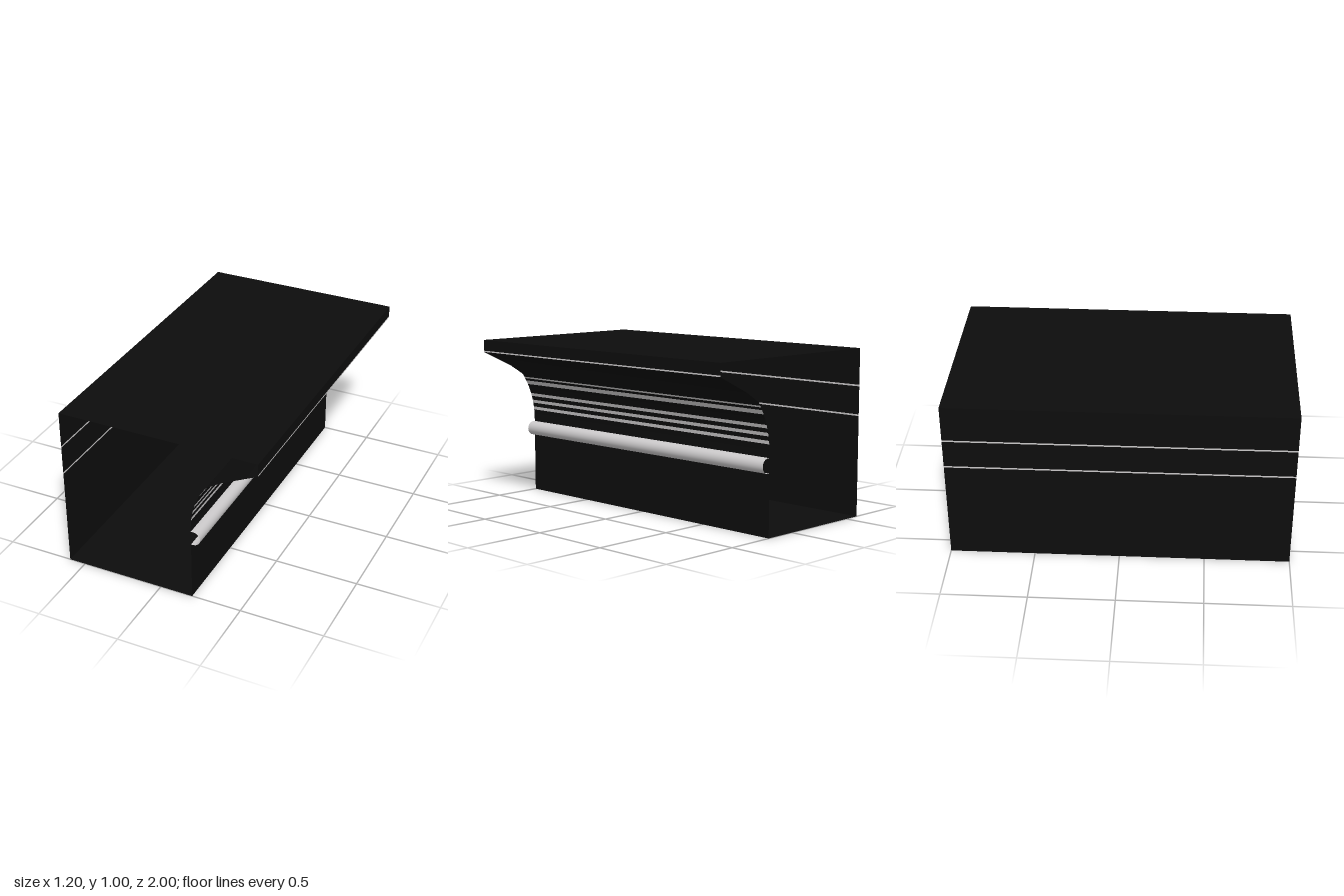
import * as THREE from 'three';

const black = new THREE.MeshStandardMaterial({ color: 0x0d0d0d, side: THREE.DoubleSide });
black.name = 'black';
const grey = new THREE.MeshStandardMaterial({ color: 0xcbc9ca, side: THREE.DoubleSide });
grey.name = 'light grey';

// Sweeps an open [x, y] profile straight along z; the ends stay open.
function sweep(name, points, material) {
  const n = points.length - 1;
  const geometry = new THREE.PlaneGeometry(1, 1, n, 1);
  const position = geometry.attributes.position;
  for (let row = 0; row < 2; row++) {
    points.forEach(([x, y], i) => position.setXYZ(row * (n + 1) + i, x, y, row ? -1 : 1));
  }
  geometry.computeVertexNormals();
  const mesh = new THREE.Mesh(geometry, material);
  mesh.name = name;
  return mesh;
}

// Stacks alternating black and grey bands between the given heights.
function bands(name, heights, xAt, steps) {
  const group = new THREE.Group();
  group.name = name;
  for (let i = 0; i < heights.length - 1; i++) {
    const points = [];
    for (let s = 0; s <= steps; s++) {
      const y = THREE.MathUtils.lerp(heights[i], heights[i + 1], s / steps);
      points.push([xAt(y), y]);
    }
    group.add(sweep(i % 2 ? 'stripe' : 'panel', points, i % 2 ? grey : black));
  }
  return group;
}

export function createModel() {
  const model = new THREE.Group();
  model.name = 'corniceMoulding';

  // Flat box sides
  model.add(sweep('topBoard', [[-0.6, 1], [0.6, 1]], black));
  model.add(sweep('bottomBoard', [[-0.6, 0], [0.2, 0]], black));
  model.add(sweep('lowerFace', [[0.2, 0], [0.2, 0.365]], black));
  model.add(bands('backWall', [0, 0.6, 0.61, 0.775, 0.785, 1], () => -0.6, 1));

  // Half-round bead
  const bead = [[0.2, 0.363]];
  for (let i = 0; i <= 16; i++) {
    const a = -Math.PI / 2 + (Math.PI * i) / 16;
    bead.push([0.213 + 0.043 * Math.cos(a), 0.406 + 0.043 * Math.sin(a)]);
  }
  bead.push([0.2, 0.449]);
  model.add(sweep('bead', bead, grey));

  // Striped cove, leaning outwards as it rises
  const xAt = (y) => 0.2 + 0.095 * Math.pow((y - 0.449) / 0.316, 2.3);
  const heights = [0.449, 0.525, 0.545, 0.57, 0.59, 0.615, 0.635, 0.695, 0.72, 0.735, 0.745, 0.765];
  model.add(bands('cove', heights, xAt, 3));

  // Sloped soffit and upright lip
  model.add(sweep('soffit', [[0.295, 0.765], [0.39, 0.825], [0.6, 0.925]], black));
  model.add(sweep('lipEdge', [[0.6, 0.925], [0.6, 0.933]], grey));
  model.add(sweep('lip', [[0.6, 0.933], [0.6, 1]], black));

  return model;
}
